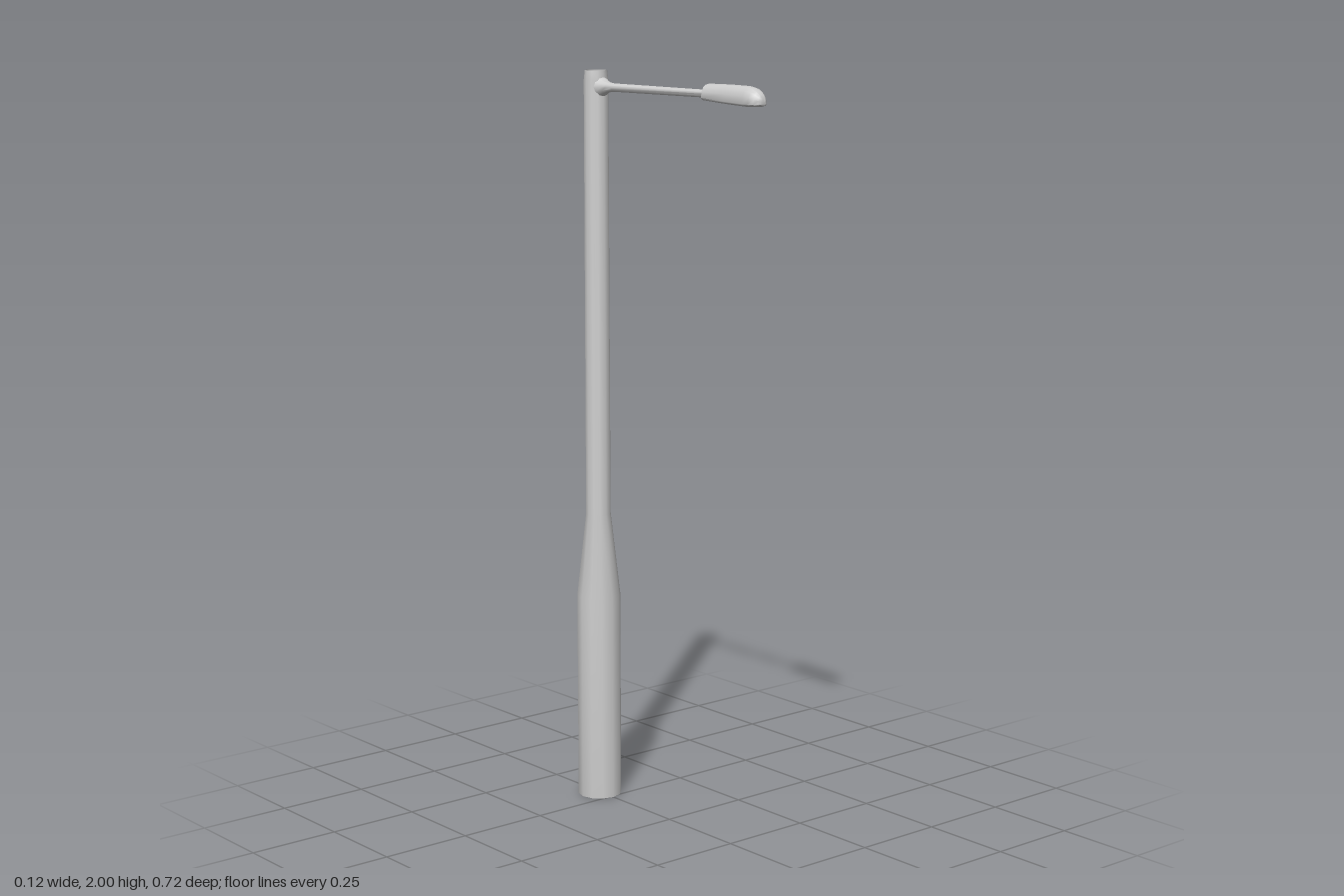
import * as THREE from 'three';
import { toCreasedNormals } from 'three/addons/utils/BufferGeometryUtils.js';

const POLE_Z = -0.302;
const POLE_R = 0.033;
const material = new THREE.MeshStandardMaterial({ color: 0xcccccc, side: THREE.DoubleSide });

// Skins rings along +z. Each section: [z, halfWidth, top, bottom, midline, squareness]
function loft(sections, sides, adjust = (p) => p) {
  const pos = [], index = [];
  for (const [z, w, top, bottom, mid, sq = 1] of sections) {
    for (let i = 0; i < sides; i++) {
      const a = (i / sides) * Math.PI * 2;
      const c = Math.cos(a), s = Math.sin(a);
      const x = w * Math.sign(c) * Math.abs(c) ** sq;
      const y = mid + (s > 0 ? top - mid : mid - bottom) * Math.sign(s) * Math.abs(s) ** sq;
      const p = adjust(new THREE.Vector3(x, y, z), z === sections[0][0]);
      pos.push(p.x, p.y, p.z);
    }
  }
  for (let r = 0; r < sections.length - 1; r++) {
    for (let i = 0; i < sides; i++) {
      const a = r * sides + i, b = r * sides + ((i + 1) % sides);
      index.push(a, b, a + sides, b, b + sides, a + sides);
    }
  }
  const g = new THREE.BufferGeometry();
  g.setAttribute('position', new THREE.Float32BufferAttribute(pos, 3));
  g.setIndex(index);
  return toCreasedNormals(g, 0.7);
}

export function createModel() {
  const group = new THREE.Group();
  const add = (name, geometry) => {
    const mesh = new THREE.Mesh(geometry, material);
    mesh.name = name;
    group.add(mesh);
    return mesh;
  };

  // Hollow pole, open at both ends: wide base, tapered shoulder, slim shaft
  const profile = [[0.06, 0], [0.06, 0.57], [0.034, 0.8], [POLE_R, 1.975], [0.03, 2]]
    .map(([r, y]) => new THREE.Vector2(r, y));
  add('pole', toCreasedNormals(new THREE.LatheGeometry(profile, 12), 0.7)).position.z = POLE_Z;

  // Arm, flared where it wraps onto the pole
  const armY = 1.957;
  const ring = (z, r) => [z, r, armY + r, armY - r, armY];
  add('arm', loft(
    [ring(-0.269, 0.025), ring(-0.259, 0.018), ring(-0.247, 0.0135), ring(-0.225, 0.011), ring(0.137, 0.01)],
    12,
    (p, first) => {
      if (first) p.z = POLE_Z + Math.sqrt(POLE_R ** 2 - p.x ** 2) - 0.001;
      return p;
    }
  ));

  // Lamp head: short neck, domed shell with a shallow underside, rounded nose
  add('lampHead', loft([
    [0.137, 0.01, 1.967, 1.947, 1.957],
    [0.146, 0.014, 1.97, 1.944, 1.955],
    [0.151, 0.02, 1.974, 1.942, 1.953],
    [0.156, 0.028, 1.983, 1.94, 1.948, 0.85],
    [0.24, 0.028, 1.984, 1.935, 1.943, 0.85],
    [0.31, 0.028, 1.983, 1.932, 1.94, 0.85],
    [0.33, 0.0265, 1.979, 1.932, 1.939, 0.9],
    [0.345, 0.022, 1.972, 1.933, 1.939],
    [0.354, 0.015, 1.963, 1.935, 1.94],
    [0.359, 0.008, 1.954, 1.937, 1.941],
    [0.36, 0, 1.942, 1.942, 1.942],
  ], 16));

  return group;
}
